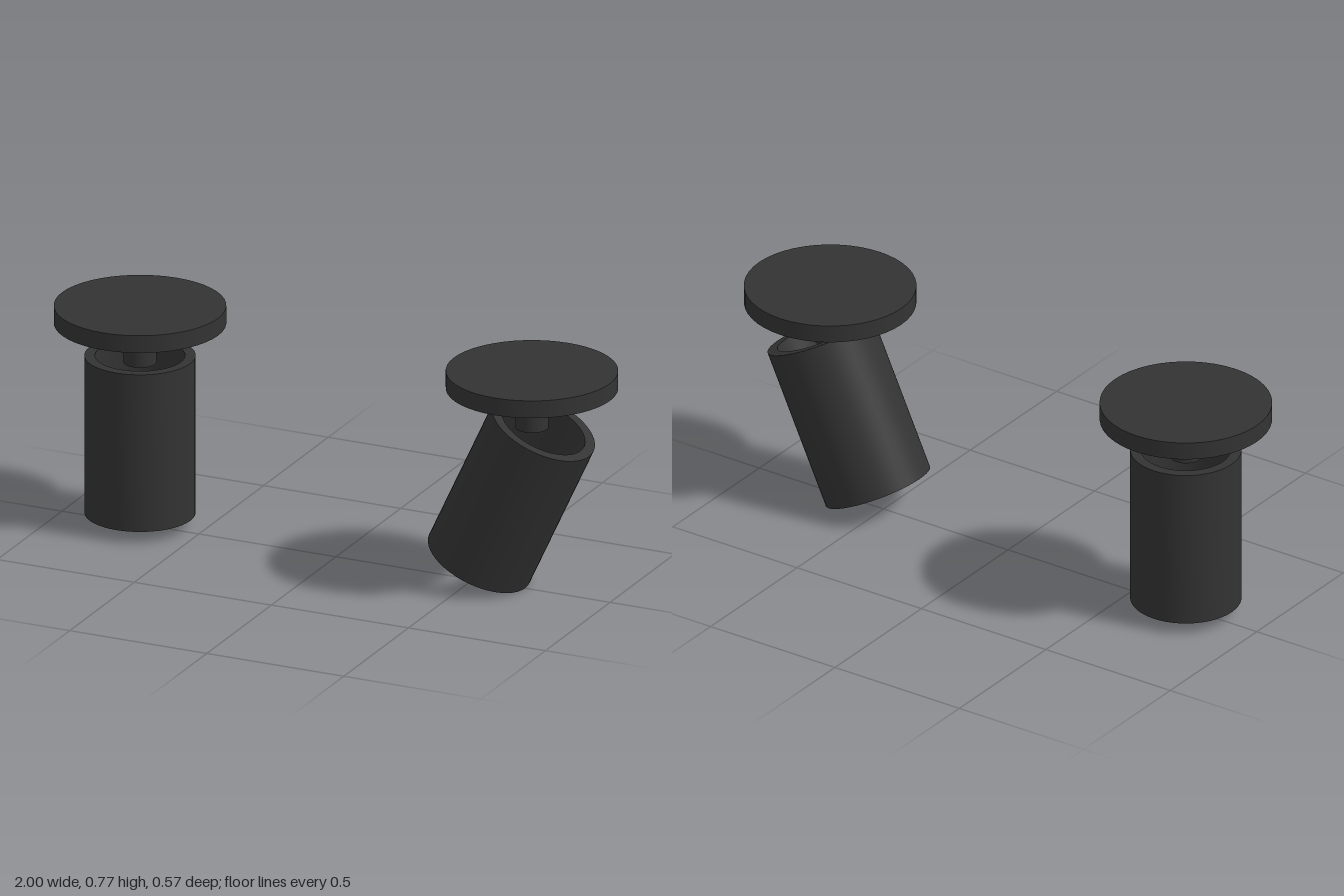
import * as THREE from 'three';
import { toCreasedNormals } from 'three/addons/utils/BufferGeometryUtils.js';

const material = new THREE.MeshStandardMaterial({ color: 0x333333 });
const SIDES = 48;

function cylinder(name, radius, bottom, top) {
  const mesh = new THREE.Mesh(new THREE.CylinderGeometry(radius, radius, top - bottom, SIDES), material);
  mesh.name = name;
  mesh.position.y = (bottom + top) / 2;
  return mesh;
}

// Open-ended thick tube, centred on its own middle, axis along y
function tubeGeometry(outer, inner, height) {
  const ring = new THREE.Shape().absarc(0, 0, outer, 0, Math.PI * 2);
  ring.holes.push(new THREE.Path().absarc(0, 0, inner, 0, Math.PI * 2, true));
  const geometry = new THREE.ExtrudeGeometry(ring, {
    depth: height, bevelEnabled: false, curveSegments: SIDES / 2,
  });
  geometry.translate(0, 0, -height / 2).rotateX(-Math.PI / 2);
  return toCreasedNormals(geometry, Math.PI / 6);
}

function spotlight(name, x, shadeX, shadeY, tilt) {
  const light = new THREE.Group();
  light.name = name;
  light.position.x = x;

  // Ceiling plate and the stem hanging from it
  light.add(cylinder('ceilingPlate', 0.285, 0.712, 0.773));
  light.add(cylinder('stem', 0.054, 0.573, 0.712));

  // Swivelling tubular shade
  const shade = new THREE.Mesh(tubeGeometry(0.184, 0.149, 0.554), material);
  shade.name = 'shade';
  shade.position.set(shadeX, shadeY, 0);
  shade.rotation.z = -tilt;
  light.add(shade);
  return light;
}

export function createModel() {
  const model = new THREE.Group();
  model.name = 'ceilingSpotlights';
  model.add(spotlight('straightSpotlight', -0.715, 0, 0.32, 0));
  model.add(spotlight('tiltedSpotlight', 0.715, -0.075, 0.33, THREE.MathUtils.degToRad(25)));
  return model;
}
